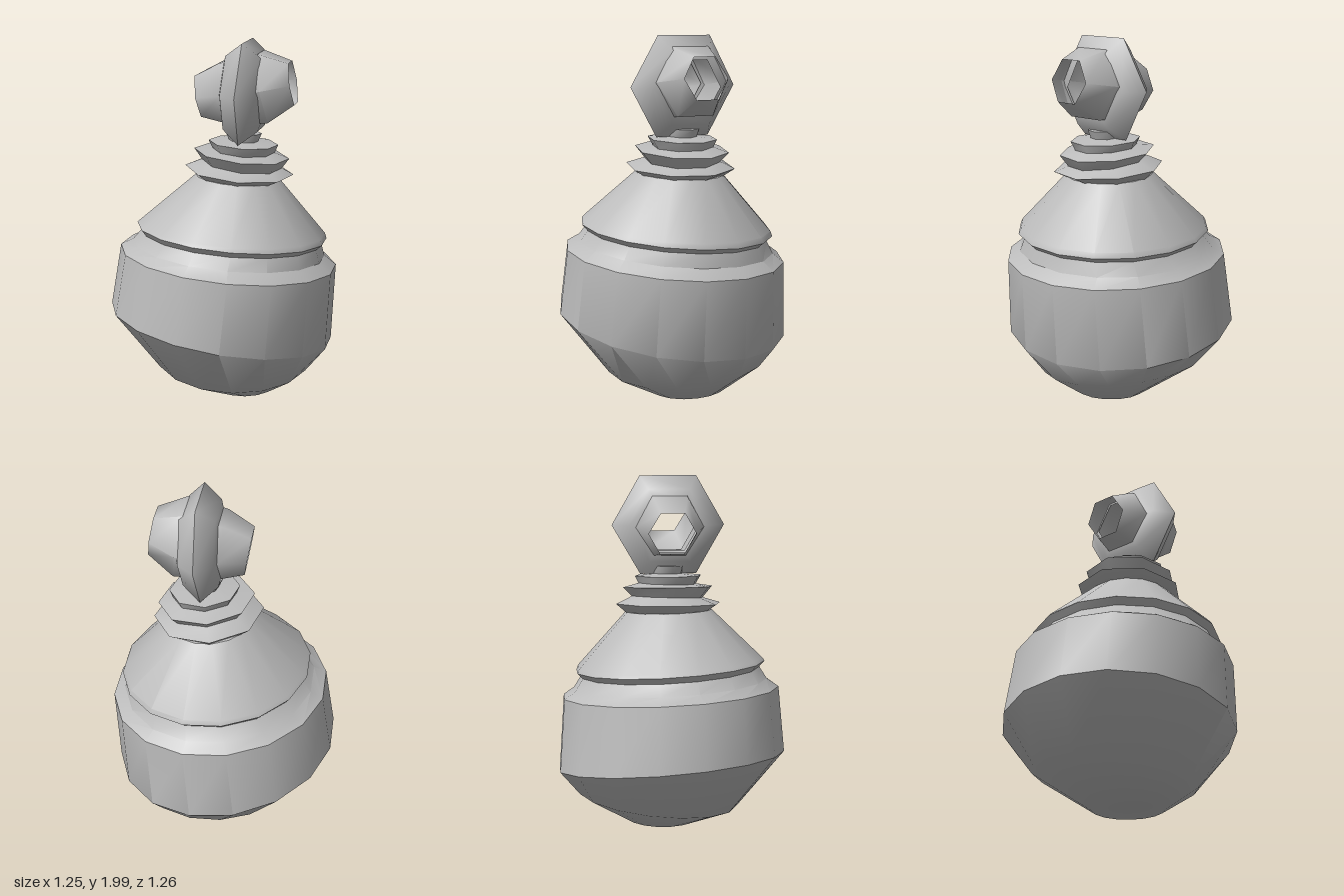
import * as THREE from 'three';
import { toCreasedNormals } from 'three/addons/utils/BufferGeometryUtils.js';

const clay = new THREE.MeshStandardMaterial({ color: 0xbcbcbc, side: THREE.DoubleSide });
clay.name = 'grey clay';

// Lofts tilted rings. A ring gives its left, right, front and back extremes:
// [xLeft, yLeft, xRight, yRight, zFront, yFront, zBack, yBack]
function loft(rings, sides, phase, stretch, crease) {
  const pos = [], index = [];
  const centres = rings.map(([xl, yl, xr, yr, zf, yf, zb, yb]) => {
    const cx = (xl + xr) / 2, cz = (zf + zb) / 2, cy = (yl + yr + yf + yb) / 4;
    for (let i = 0; i < sides; i++) {
      const a = (i + phase) / sides * Math.PI * 2;
      const c = Math.cos(a) * stretch, s = -Math.sin(a) * stretch;
      pos.push(cx + c * (xr - xl) / 2, cy + c * (yr - yl) / 2 + s * (yf - yb) / 2, cz + s * (zf - zb) / 2);
    }
    return [cx, cy, cz];
  });
  const last = rings.length - 1, base = rings.length * sides;
  pos.push(...centres[0], ...centres[last]);
  for (let i = 0; i < sides; i++) {
    const j = (i + 1) % sides;
    for (let r = 0; r < last; r++) {
      const a = r * sides + i, b = r * sides + j;
      index.push(a, b, b + sides, a, b + sides, a + sides);
    }
    // end caps
    index.push(base, j, i, base + 1, last * sides + i, last * sides + j);
  }
  const g = new THREE.BufferGeometry();
  g.setAttribute('position', new THREE.Float32BufferAttribute(pos, 3));
  g.setIndex(index);
  return toCreasedNormals(g, crease);
}

// Six-sided turned part lying along x, from [distance along axis, radius] points
function turned(profile, tilt) {
  const pts = profile.map(([d, r]) => new THREE.Vector2(r, d));
  const g = new THREE.LatheGeometry(pts, 6);
  g.rotateZ(-Math.PI / 2 + tilt);
  return toCreasedNormals(g, 1.1);
}

export function createModel() {
  const model = new THREE.Group();
  model.name = 'bottle';
  const add = (name, geometry, x = 0, y = 0, z = 0) => {
    const m = new THREE.Mesh(geometry, clay);
    m.name = name;
    m.position.set(x, y, z);
    model.add(m);
  };

  // Round lopsided belly, up to the shoulder edge
  const shoulder = [-0.57, 0.855, 0.625, 0.75, 0.605, 0.82, -0.6, 0.77];
  add('belly', loft([
    [-0.06, 0.015, 0.3, 0.015, 0.16, 0.01, -0.24, 0.02],
    [-0.4, 0.2, 0.48, 0.16, 0.38, 0.11, -0.52, 0.21],
    [-0.63, 0.5, 0.605, 0.31, 0.635, 0.45, -0.63, 0.36],
    shoulder,
  ], 16, 0.5, 1.015, 0.7));

  // Stepped shoulder, groove, overhanging rim and cone
  add('shoulder', loft([
    shoulder,
    [-0.5, 0.885, 0.56, 0.8, 0.54, 0.87, -0.54, 0.815],
    [-0.45, 0.95, 0.54, 0.88, 0.5, 0.93, -0.495, 0.88],
    [-0.475, 0.985, 0.57, 0.905, 0.53, 0.965, -0.525, 0.91],
    [-0.46, 1.0, 0.56, 0.935, 0.515, 0.985, -0.515, 0.935],
    [-0.15, 1.27, 0.31, 1.24, 0.24, 1.25, -0.24, 1.24],
  ], 16, 0.5, 1.015, 0.5));

  // Ruffled neck: three flared collars and a small lip
  add('neck', loft([
    [-0.14, 1.26, 0.31, 1.235, 0.23, 1.24, -0.24, 1.235],
    [-0.21, 1.315, 0.385, 1.265, 0.3, 1.285, -0.3, 1.29],
    [-0.12, 1.35, 0.32, 1.3, 0.2, 1.315, -0.21, 1.33],
    [-0.16, 1.41, 0.36, 1.355, 0.255, 1.38, -0.26, 1.38],
    [-0.06, 1.415, 0.28, 1.39, 0.16, 1.39, -0.17, 1.4],
    [-0.08, 1.46, 0.3, 1.435, 0.19, 1.44, -0.19, 1.44],
    [0.03, 1.46, 0.19, 1.45, 0.08, 1.455, -0.08, 1.455],
    [0.01, 1.505, 0.21, 1.495, 0.09, 1.5, -0.09, 1.5],
  ], 8, 0.2, 1.01, 0.8));

  // Stopper: open bulging tube through a lens-shaped hexagonal disc
  add('stopperTube', turned([[-0.26, 0.13], [-0.11, 0.19], [0.11, 0.215], [0.26, 0.13]], 0.155), 0.125, 1.74);
  add('stopperDisc', turned([[-0.11, 0.17], [-0.095, 0.23], [0, 0.316], [0.095, 0.23], [0.11, 0.17]], -0.035), 0.12, 1.727);

  return model;
}
